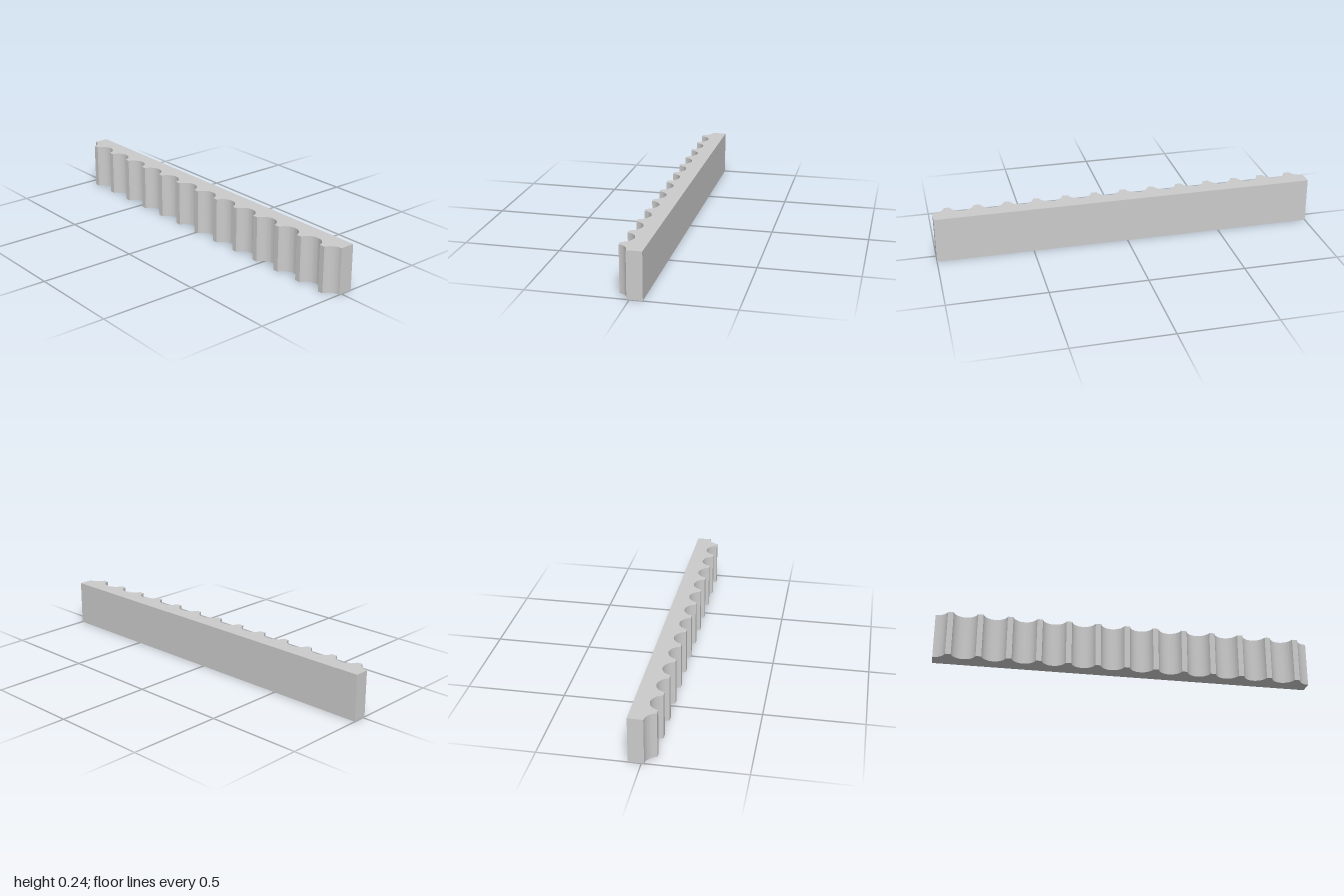
import * as THREE from 'three';
import { toCreasedNormals } from 'three/addons/utils/BufferGeometryUtils.js';

const HEIGHT = 0.238;
const HALF_DEPTH = 0.063;
const FILLETS = 13;               // flat ribs between the flutes
const PITCH = 2 / FILLETS;
const FLUTE_HALF_WIDTH = PITCH / 2 - 0.0145;
const FLUTE_DEPTH = 0.05;
const STEPS = 12;                 // segments per half flute

// Plan outline: straight back, fluted front with a half flute at each end
function flutedOutline() {
  const radius = (FLUTE_HALF_WIDTH ** 2 + FLUTE_DEPTH ** 2) / (2 * FLUTE_DEPTH);
  const centreZ = HALF_DEPTH - FLUTE_DEPTH + radius;
  const halfAngle = Math.asin(FLUTE_HALF_WIDTH / radius);
  const points = [new THREE.Vector2(1, -HALF_DEPTH), new THREE.Vector2(-1, -HALF_DEPTH)];
  for (let i = 0; i <= FILLETS; i++) {
    const first = i === 0 ? 0 : -STEPS;
    const last = i === FILLETS ? 0 : STEPS;
    for (let s = first; s <= last; s++) {
      const a = (s / STEPS) * halfAngle;
      points.push(new THREE.Vector2(
        -1 + i * PITCH + radius * Math.sin(a),
        centreZ - radius * Math.cos(a)
      ));
    }
  }
  return new THREE.Shape(points);
}

export function createModel() {
  const group = new THREE.Group();
  group.name = 'flutedMoulding';

  // Outline drawn in x/z and extruded through the height
  const geometry = new THREE.ExtrudeGeometry(flutedOutline(), { depth: HEIGHT, bevelEnabled: false });
  geometry.rotateX(Math.PI / 2);
  geometry.translate(0, HEIGHT, 0);

  const strip = new THREE.Mesh(
    toCreasedNormals(geometry, Math.PI / 6),
    new THREE.MeshStandardMaterial({ color: 0xcccccc })
  );
  strip.name = 'flutedStrip';
  group.add(strip);
  return group;
}
